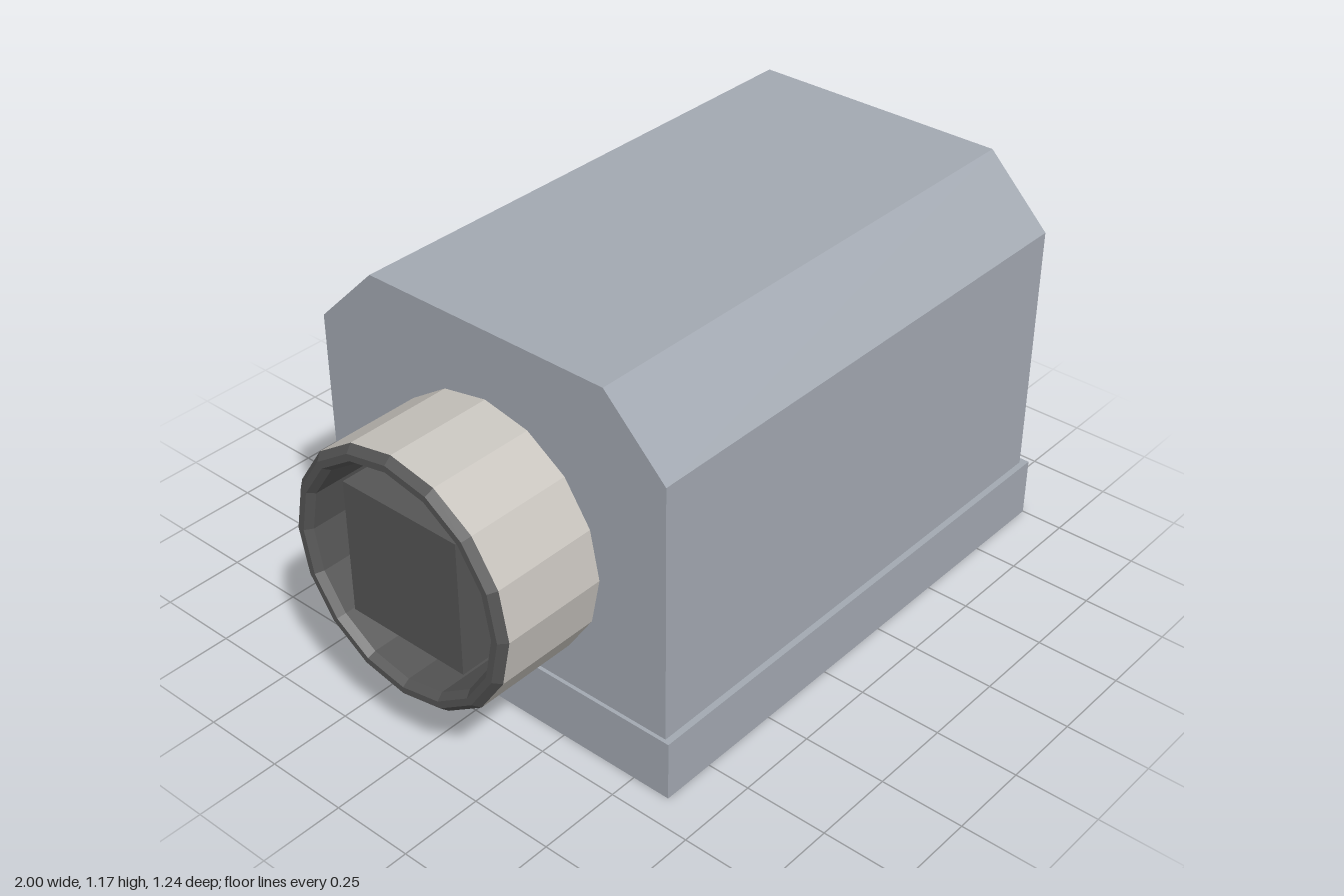
import * as THREE from 'three';

const material = (color) => new THREE.MeshStandardMaterial({ color, flatShading: true });

export function createModel() {
  const model = new THREE.Group();
  const shell = material(0xa3a9b2);
  const metal = material(0xc8c4be);
  const dark = material(0x555555);

  const add = (name, geometry, mat, x = 0, y = 0, z = 0) => {
    const mesh = new THREE.Mesh(geometry, mat);
    mesh.name = name;
    mesh.position.set(x, y, z);
    model.add(mesh);
  };

  // Plinth under the housing
  add('base', new THREE.BoxGeometry(1.666, 0.185, 1.238), shell, 0.167, 0.0925);

  // Housing: chamfered section in z/y, extruded along x
  const section = new THREE.Shape([
    [-0.6, 0.185], [0.6, 0.185], [0.6, 0.975], [0.402, 1.172], [-0.402, 1.172], [-0.6, 0.975],
  ].map(([z, y]) => new THREE.Vector2(z, y)));
  const housing = new THREE.ExtrudeGeometry(section, { depth: 1.635, bevelEnabled: false });
  housing.rotateY(Math.PI / 2);
  add('housing', housing, shell, -0.655);

  // Turned parts: [radius, distance out from the housing], axis along -x
  const turned = (profile) => new THREE.LatheGeometry(
    profile.map(([r, d]) => new THREE.Vector2(r, d)), 16).rotateZ(Math.PI / 2);

  // Collar, then its bevelled lip, bore and floor
  add('collar', turned([[0.38, 0], [0.38, 0.323]]), metal, -0.655, 0.585);
  add('collarLip', turned([
    [0.38, 0.323], [0.36, 0.345], [0.34, 0.345], [0.325, 0.323], [0.325, 0.005], [0, 0.005],
  ]), dark, -0.655, 0.585);

  // Square peg inside the collar
  add('squarePeg', new THREE.BoxGeometry(0.315, 0.41, 0.4), dark, -0.8125, 0.585);

  return model;
}
